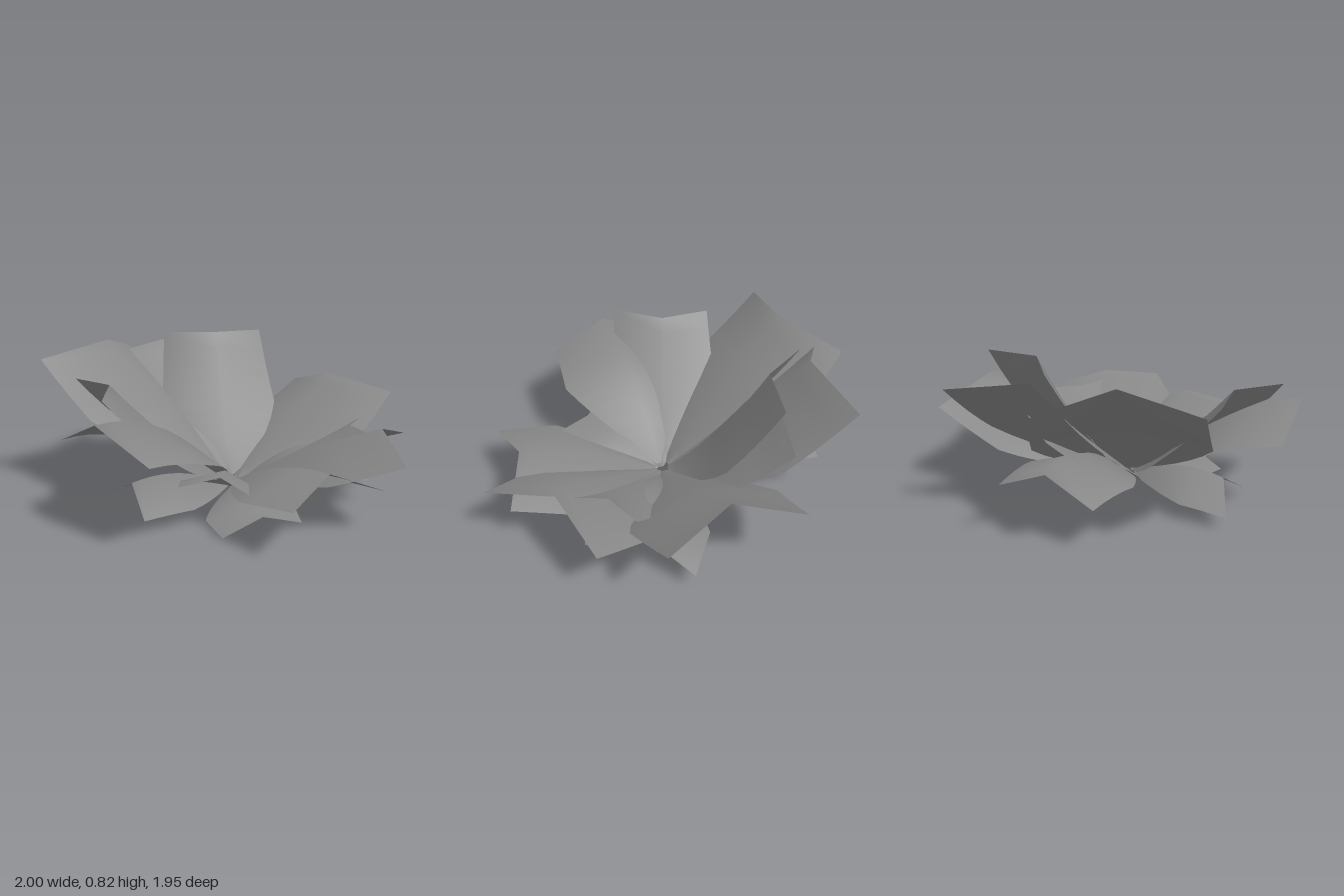
import * as THREE from 'three';

// Each leaf: left tip corner x y z, right tip corner x y z,
// how far the middle of the tip is notched inward, how far it rises, and the bow of the midrib
const TIERS = [
  {
    base: 0.11,
    leaves: {
      backLeaf: [-0.30, 0.81, -0.64, 0.28, 0.81, -0.64, 0.12, 0.01, -0.07],
      backLeftLeaf: [-1, 0.73, -0.28, -0.50, 0.70, -0.85, 0.15, 0.085, 0],
      backOuterLeaf: [-0.68, 0.66, -0.70, 0.07, 0.71, -0.98, 0.15, 0.085, -0.03],
      backInnerLeaf: [-0.33, 0.50, -0.66, 0.25, 0.53, -0.71, 0.08, 0.035, -0.02],
    },
  },
  {
    base: 0.1,
    leaves: {
      backRightLeaf: [0.56, 0.46, -0.82, 1, 0.48, -0.26, 0.12, 0.09, 0.01],
      leftLeaf: [-0.68, 0.67, 0.50, -0.81, 0.67, -0.03, 0.11, 0.01, -0.03],
      frontLeftLeaf: [-0.49, 0.445, 0.83, -0.88, 0.44, 0.305, -0.04, 0.14, 0.13],
      rightLeaf: [0.735, 0.39, -0.04, 0.675, 0.40, 0.35, 0.08, 0.005, 0],
      frontRightLeaf: [0.95, 0.33, 0.09, 0.70, 0.36, 0.76, 0.12, 0.095, 0.03],
      frontLeaf: [0.65, 0.21, 0.66, 0.11, 0.26, 0.97, 0.095, 0.105, 0.05],
    },
  },
  {
    base: 0.07,
    leaves: {
      lowFrontLeftLeaf: [0.02, 0.21, 0.68, -0.34, 0.24, 0.52, 0.09, 0.05, 0.06],
      lowFrontLeaf: [0.27, 0.02, 0.52, -0.14, 0, 0.60, 0, 0.07, 0.04],
      lowLeftLeaf: [-0.50, 0.05, 0.45, -0.735, 0.065, 0.10, 0.075, 0.12, 0.06],
      lowBackLeaf: [-0.58, 0.23, -0.57, -0.12, 0.25, -0.81, 0.01, 0.11, 0.12],
      lowRightLeaf: [0.74, 0.10, -0.33, 0.70, 0.12, 0.25, 0.06, 0.12, 0.1],
    },
  },
];

const ROWS = 10;
const SHOULDER = 0.6;
const CENTRE_Z = 0.035;

// A folded sheet that leaves the centre narrow, widens to a shoulder and runs straight to a notched tip
function leafGeometry([lx, ly, lz, rx, ry, rz, notch, rise, bow], base) {
  const left = new THREE.Vector3(lx, ly, lz);
  const right = new THREE.Vector3(rx, ry, rz);
  const middle = left.clone().lerp(right, 0.5);
  const radial = middle.clone().setY(0).normalize();
  middle.addScaledVector(radial, -notch);
  middle.y += rise;

  const across = right.clone().sub(left);
  const narrow = across.clone().setY(0).normalize().multiplyScalar(0.015);
  const root = radial.clone().multiplyScalar(0.035).add(new THREE.Vector3(0, base, CENTRE_Z));
  const positions = [], index = [];

  for (let r = 0; r <= ROWS; r++) {
    const t = r / ROWS;
    const arch = 4 * t * (1 - t);
    const width = t < SHOULDER ? Math.sin((Math.PI / 2) * t / SHOULDER) : (1 - t) / (1 - SHOULDER);
    [left, middle, right].forEach((tip, c) => {
      const side = c - 1;
      const p = root.clone().addScaledVector(narrow, side).lerp(tip, t);
      p.addScaledVector(across, side * 0.26 * width);
      p.y += (bow - 0.045 * Math.abs(side)) * arch;
      positions.push(p.x, Math.max(p.y, 0), p.z);
    });
  }
  for (let r = 0; r < ROWS; r++) {
    for (let c = 0; c < 2; c++) {
      const a = r * 3 + c, b = a + 3;
      index.push(a, a + 1, b, a + 1, b + 1, b);
    }
  }

  const geometry = new THREE.BufferGeometry();
  geometry.setAttribute('position', new THREE.Float32BufferAttribute(positions, 3));
  geometry.setIndex(index);
  geometry.computeVertexNormals();
  return geometry;
}

export function createModel() {
  const model = new THREE.Group();
  model.name = 'leafRosette';
  const material = new THREE.MeshStandardMaterial({ color: 0x878787, side: THREE.DoubleSide });

  for (const { base, leaves } of TIERS) {
    for (const [name, shape] of Object.entries(leaves)) {
      const leaf = new THREE.Mesh(leafGeometry(shape, base), material);
      leaf.name = name;
      model.add(leaf);
    }
  }
  return model;
}
